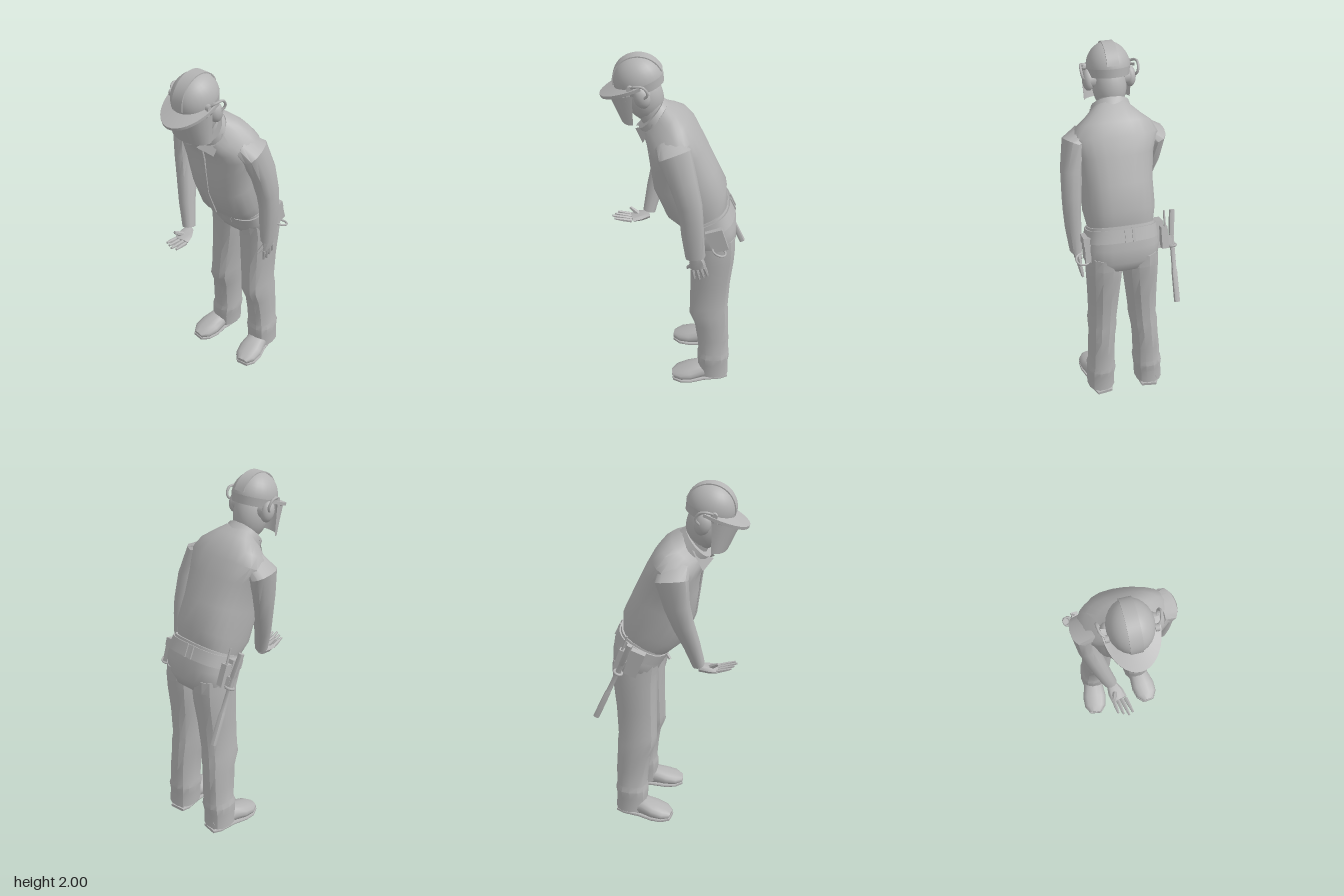
import * as THREE from 'three';
import { toCreasedNormals } from 'three/addons/utils/BufferGeometryUtils.js';

const grey = new THREE.MeshStandardMaterial({ color: 0xb4b4b4, side: THREE.DoubleSide });
grey.name = 'plain grey';

const V3 = (x, y, z) => new THREE.Vector3(x, y, z);
const X = V3(1, 0, 0), Y = V3(0, 1, 0), Z = V3(0, 0, 1);

function add(parent, name, geo, pos = [0, 0, 0], rot = [0, 0, 0]) {
  const m = new THREE.Mesh(geo, grey);
  m.name = name;
  m.position.set(...pos);
  m.rotation.set(...rot);
  parent.add(m);
  return m;
}

// Closed skin over rings [x, y, z, halfWidth, halfDepth, tiltDegrees?].
// Depth runs along ref; a tilt leans the ring forward, otherwise it follows the path.
function loft(rings, { ref = Z, sides = 14, pow = 2.3, crease = 0.7 } = {}) {
  const pos = [], idx = [], n = rings.length;
  const c = rings.map(r => V3(r[0], r[1], r[2]));
  const f = s => Math.sign(s) * Math.abs(s) ** (2 / pow);
  rings.forEach((r, i) => {
    const T = c[Math.min(i + 1, n - 1)].clone().sub(c[Math.max(i - 1, 0)]).normalize();
    const V = ref.clone();
    if (r[5] !== undefined) {
      const t = r[5] * Math.PI / 180;
      T.set(0, Math.cos(t), Math.sin(t));
      V.set(0, -Math.sin(t), Math.cos(t));
    }
    V.addScaledVector(T, -V.dot(T)).normalize();
    const U = V.clone().cross(T);
    for (let j = 0; j < sides; j++) {
      const a = j / sides * Math.PI * 2;
      const p = c[i].clone().addScaledVector(U, r[3] * f(Math.cos(a))).addScaledVector(V, r[4] * f(Math.sin(a)));
      pos.push(p.x, p.y, p.z);
    }
  });
  pos.push(...c[0].toArray(), ...c[n - 1].toArray());
  for (let j = 0; j < sides; j++) {
    const k = (j + 1) % sides;
    for (let i = 0; i < n - 1; i++) {
      const a = i * sides + j, b = i * sides + k;
      idx.push(a, b, b + sides, a, b + sides, a + sides);
    }
    idx.push(n * sides, k, j, n * sides + 1, (n - 1) * sides + j, (n - 1) * sides + k);
  }
  const g = new THREE.BufferGeometry();
  g.setAttribute('position', new THREE.Float32BufferAttribute(pos, 3));
  g.setIndex(idx);
  return toCreasedNormals(g, crease);
}

// Open curved sheet: fn(u, v) with u, v from 0 to 1
function sheet(nu, nv, fn) {
  const g = new THREE.PlaneGeometry(1, 1, nu, nv), p = g.attributes.position;
  for (let i = 0; i < p.count; i++) p.setXYZ(i, ...fn(p.getX(i) + 0.5, p.getY(i) + 0.5));
  g.computeVertexNormals();
  return g;
}

function hand(parent, name, wrist, knuckle, tip, across, thumbTip) {
  const g = new THREE.Group();
  g.name = name;
  parent.add(g);
  const mid = wrist.clone().lerp(knuckle, 0.5);
  const finger = (label, a, b, r) => {
    const m = a.clone().lerp(b, 0.5);
    add(g, label, loft([[...a, r, r], [...m, r * 0.9, r * 0.9], [...b, r * 0.55, r * 0.55]], { ref: across, sides: 6 }));
  };
  add(g, 'palm', loft([[...wrist, 0.022, 0.026], [...mid, 0.021, 0.042], [...knuckle, 0.013, 0.044]], { ref: across, sides: 8 }));
  for (let i = -1.5; i < 2; i++) {
    const a = knuckle.clone().addScaledVector(across, i * 0.022);
    finger('finger', a, tip.clone().addScaledVector(across, i * 0.026).lerp(a, Math.abs(i - 0.5) * 0.12), 0.011);
  }
  finger('thumb', mid, thumbTip, 0.015);
}

function buildHead(parent) {
  const cx = -0.02;
  add(parent, 'neck', loft([[-0.01, 1.6, 0.08, 0.075, 0.075, 40], [-0.02, 1.76, 0.15, 0.07, 0.075, 25]]));
  add(parent, 'face', new THREE.SphereGeometry(1, 20, 14), [cx, 1.78, 0.165], [0.25, 0, 0]).scale.set(0.09, 0.137, 0.1);
  // Face shield hanging from the peak
  add(parent, 'faceShield', sheet(16, 2, (u, v) => {
    const a = (u - 0.5) * 3.1, d = 0.072 + 0.064 * v;
    return [cx + Math.sin(a) * (0.124 + 0.01 * v), 1.67 + 0.165 * v - 0.01 * Math.cos(a) * (1 + 2 * v), 0.213 + Math.cos(a) * d];
  }));

  // Helmet pitched forward with the head
  const h = new THREE.Group();
  h.name = 'helmet';
  h.position.set(cx, 1.87, 0.19);
  h.rotation.x = 0.3;
  parent.add(h);
  add(h, 'shell', new THREE.SphereGeometry(1, 24, 10, 0, Math.PI * 2, 0, Math.PI / 2)).scale.set(0.114, 0.127, 0.13);
  add(h, 'shellBand', new THREE.CylinderGeometry(1, 0.93, 0.045, 24, 1, true), [0, -0.022, 0]).scale.set(0.114, 1, 0.13);
  const ridge = new THREE.BoxGeometry(0.062, 0.006, 1, 1, 1, 20), p = ridge.attributes.position;
  for (let i = 0; i < p.count; i++) {
    const a = p.getZ(i) * 2.9, r = 0.127 + p.getY(i);
    p.setXYZ(i, p.getX(i), Math.cos(a) * r, Math.sin(a) * (r + 0.002));
  }
  add(h, 'crownRidge', toCreasedNormals(ridge, 0.5));
  // Peak with a turned-down rim
  const peak = (v, drop) => u => {
    const a = (u - 0.5) * 3.3;
    return [Math.sin(a) * (0.108 + 0.03 * v), 0.004 - 0.02 * v * Math.cos(a) - drop, Math.cos(a) * (0.122 + 0.093 * v)];
  };
  add(h, 'peak', sheet(20, 2, (u, v) => peak(v, 0)(u)));
  add(h, 'peakRim', sheet(20, 1, (u, v) => peak(1, 0.016 * v)(u)));
  for (const s of [-1, 1]) {
    add(h, 'earMuff', new THREE.SphereGeometry(1, 14, 10), [s * 0.11, -0.06, -0.005]).scale.set(0.032, 0.056, 0.042);
    add(h, 'muffCushion', new THREE.CylinderGeometry(0.042, 0.042, 0.03, 14), [s * 0.09, -0.06, -0.005], [0, 0, Math.PI / 2]);
    const arm = new THREE.CatmullRomCurve3([V3(s * 0.112, 0.005, 0.035), V3(s * 0.14, 0.02, 0.01), V3(s * 0.15, 0.008, -0.035), V3(s * 0.145, -0.035, -0.045), V3(s * 0.13, -0.06, -0.01)]);
    add(h, 'muffArm', new THREE.TubeGeometry(arm, 16, 0.007, 6));
    add(h, 'shieldPivot', new THREE.CylinderGeometry(0.018, 0.018, 0.02, 10), [s * 0.118, 0.005, 0.035], [0, 0, Math.PI / 2]);
    add(h, 'shieldBracket', new THREE.BoxGeometry(0.01, 0.06, 0.018), [s * 0.122, -0.025, 0.055], [-0.4, 0, 0]);
  }
}

function buildShirt(parent) {
  add(parent, 'shirtBody', loft([
    [-0.005, 1.115, -0.143, 0.176, 0.145, 28], [-0.005, 1.19, -0.107, 0.19, 0.182, 26],
    [-0.005, 1.335, -0.045, 0.19, 0.178, 21], [-0.005, 1.475, -0.005, 0.205, 0.155, 21],
    [-0.008, 1.56, 0.02, 0.232, 0.135, 26], [-0.01, 1.61, 0.05, 0.2, 0.125, 33],
    [-0.01, 1.64, 0.08, 0.145, 0.115, 42], [-0.01, 1.665, 0.112, 0.1, 0.1, 50],
  ], { sides: 24, pow: 2.6 }));
  add(parent, 'placket', loft([
    [-0.015, 1.56, 0.164, 0.016, 0.005], [-0.015, 1.5, 0.15, 0.016, 0.005], [-0.015, 1.42, 0.14, 0.016, 0.005],
    [-0.015, 1.27, 0.12, 0.016, 0.005], [-0.015, 1.11, 0.059, 0.016, 0.005],
  ], { sides: 8, pow: 6 }));
  add(parent, 'collarStand', loft([[-0.012, 1.645, 0.095, 0.115, 0.11, 50], [-0.015, 1.685, 0.13, 0.1, 0.1, 49]], { sides: 20, pow: 2 }));
  for (const s of [-1, 1]) {
    const flap = new THREE.BufferGeometry().setFromPoints([V3(s * 0.015 - 0.015, 1.6, 0.212), V3(s * 0.112 - 0.015, 1.675, 0.115), V3(s * 0.092 - 0.015, 1.555, 0.17)]);
    flap.computeVertexNormals();
    add(parent, 'collarFlap', flap);
  }
  // Hanging arm, then reaching arm
  add(parent, 'leftSleeve', loft([
    [0.15, 1.585, 0.03, 0.045, 0.08], [0.205, 1.555, 0.005, 0.058, 0.09], [0.232, 1.42, -0.04, 0.056, 0.075],
    [0.24, 1.28, -0.075, 0.053, 0.066], [0.243, 1.2, -0.085, 0.048, 0.062], [0.24, 1.1, -0.092, 0.045, 0.06], [0.232, 0.95, -0.108, 0.034, 0.054],
  ], { sides: 12 }));
  hand(parent, 'leftHand', V3(0.23, 0.96, -0.108), V3(0.218, 0.865, -0.125), V3(0.205, 0.78, -0.145), V3(0, -0.15, 0.99), V3(0.195, 0.85, -0.065));
  add(parent, 'rightSleeve', loft([
    [-0.16, 1.585, 0.03, 0.045, 0.08], [-0.228, 1.54, 0.03, 0.06, 0.088], [-0.215, 1.4, 0.055, 0.052, 0.07],
    [-0.188, 1.28, 0.085, 0.05, 0.058], [-0.155, 1.15, 0.125, 0.044, 0.045], [-0.118, 1.015, 0.157, 0.036, 0.034],
  ], { sides: 12 }));
  hand(parent, 'rightHand', V3(-0.115, 0.995, 0.158), V3(-0.09, 0.983, 0.255), V3(-0.075, 1.012, 0.36), X, V3(-0.125, 1.03, 0.265));
}

function buildLegs(parent) {
  add(parent, 'trouserSeat', loft([
    [0, 0.89, -0.2, 0.12, 0.07, 0], [0, 0.925, -0.2, 0.182, 0.12, 0], [0, 0.97, -0.197, 0.197, 0.135, 4],
    [0, 1.03, -0.188, 0.2, 0.145, 14], [-0.003, 1.12, -0.15, 0.18, 0.145, 27],
  ], { sides: 24, pow: 2.8, crease: 1.2 }));
  for (const s of [-1, 1]) {
    const side = s > 0 ? 'left' : 'right', k = s > 0 ? 0 : 1; // right foot stands wider
    add(parent, side + 'TrouserLeg', loft([
      [0.128 + 0.032 * k, 0.035, -0.225, 0.08, 0.09], [0.126 + 0.03 * k, 0.12, -0.22, 0.078, 0.09], [0.124 + 0.028 * k, 0.17, -0.222, 0.084, 0.095],
      [0.122 + 0.026 * k, 0.2, -0.222, 0.076, 0.088], [0.12 + 0.025 * k, 0.3, -0.217, 0.075, 0.093], [0.115 + 0.022 * k, 0.4, -0.207, 0.073, 0.098],
      [0.11 + 0.02 * k, 0.48, -0.19, 0.08, 0.113], [0.107 + 0.017 * k, 0.53, -0.188, 0.076, 0.11], [0.102 + 0.01 * k, 0.7, -0.193, 0.086, 0.113],
      [0.1 + 0.002 * k, 0.85, -0.2, 0.096, 0.122], [0.099, 0.93, -0.2, 0.099, 0.126], [0.098, 1, -0.193, 0.096, 0.13],
    ].map(r => [s * r[0], ...r.slice(1), 0]), { sides: 14, pow: 2.4, crease: 0.5 }));
    // Shoe toed slightly outward
    const shoe = new THREE.Group();
    shoe.name = side + 'Shoe';
    shoe.position.set(s * (0.128 + 0.035 * k), 0, -0.22);
    shoe.rotation.y = s * 0.14;
    parent.add(shoe);
    add(shoe, 'upper', loft([
      [0, 0.05, -0.08, 0.045, 0.045], [0, 0.055, -0.04, 0.06, 0.05], [0, 0.055, 0.07, 0.062, 0.052],
      [0, 0.043, 0.14, 0.074, 0.04], [0, 0.034, 0.2, 0.066, 0.03], [0, 0.026, 0.24, 0.035, 0.018],
    ], { ref: Y, sides: 14, pow: 2.2, crease: 1 }));
    add(shoe, 'sole', loft([[0, 0.009, -0.085, 0.045, 0.009], [0, 0.009, -0.04, 0.06, 0.009], [0, 0.009, 0.06, 0.06, 0.009],
      [0, 0.009, 0.14, 0.074, 0.009], [0, 0.009, 0.2, 0.067, 0.009], [0, 0.009, 0.243, 0.036, 0.009]], { ref: Y, sides: 12, pow: 6 }));
  }
}

function buildBelt(parent) {
  add(parent, 'belt', loft([[0, 1.05, -0.183, 0.199, 0.151, 24], [-0.003, 1.11, -0.155, 0.19, 0.152, 26]], { sides: 24, pow: 2.8 }));
  add(parent, 'buckle', new THREE.BoxGeometry(0.07, 0.045, 0.012), [-0.01, 1.018, -0.038], [0.42, 0, 0]);
  for (const x of [-0.04, 0]) add(parent, 'beltLoop', new THREE.BoxGeometry(0.014, 0.075, 0.01), [x, 1.145, -0.307], [0.42, 0, 0]);
  // Pouch and cuff ring on the left hip
  add(parent, 'pouch', new THREE.BoxGeometry(0.03, 0.12, 0.09), [0.196, 1.03, -0.225], [0.3, 0, 0]);
  add(parent, 'pouchFlap', new THREE.BoxGeometry(0.038, 0.045, 0.094), [0.196, 1.08, -0.208], [0.3, 0, 0]);
  add(parent, 'cuffRing', new THREE.TorusGeometry(0.037, 0.006, 6, 18), [0.217, 0.975, -0.235], [1.25, 0, 0]);
  // Holster, radio and baton on the right hip
  add(parent, 'holster', new THREE.BoxGeometry(0.035, 0.14, 0.075), [-0.21, 1.03, -0.18], [0.35, 0, 0]);
  add(parent, 'holsterFlap', new THREE.BoxGeometry(0.042, 0.05, 0.08), [-0.21, 1.085, -0.16], [0.35, 0, 0]);
  add(parent, 'radio', new THREE.BoxGeometry(0.035, 0.12, 0.045), [-0.222, 1.06, -0.25], [0.35, 0, 0]);
  add(parent, 'radioAerial', new THREE.CylinderGeometry(0.005, 0.007, 0.1, 6), [-0.228, 1.155, -0.225], [0.35, 0, 0]);
  add(parent, 'batonHolder', new THREE.TorusGeometry(0.022, 0.008, 6, 12), [-0.265, 1.0, -0.255], [Math.PI / 2 + 0.41, 0, 0]);
  add(parent, 'batonStrap', new THREE.BoxGeometry(0.06, 0.05, 0.03), [-0.235, 1.03, -0.243], [0.41, 0, 0]);
  add(parent, 'baton', loft([[-0.27, 0.71, -0.385, 0.017, 0.017], [-0.268, 0.87, -0.315, 0.016, 0.016], [-0.268, 0.88, -0.31, 0.013, 0.013],
    [-0.268, 1.05, -0.235, 0.013, 0.013], [-0.268, 1.06, -0.23, 0.016, 0.016], [-0.28, 1.18, -0.182, 0.015, 0.015]], { sides: 8, pow: 2.6 }));
}

export function createModel() {
  const model = new THREE.Group();
  model.name = 'helmetedOfficer';
  buildHead(model);
  buildShirt(model);
  buildLegs(model);
  buildBelt(model);
  return model;
}
